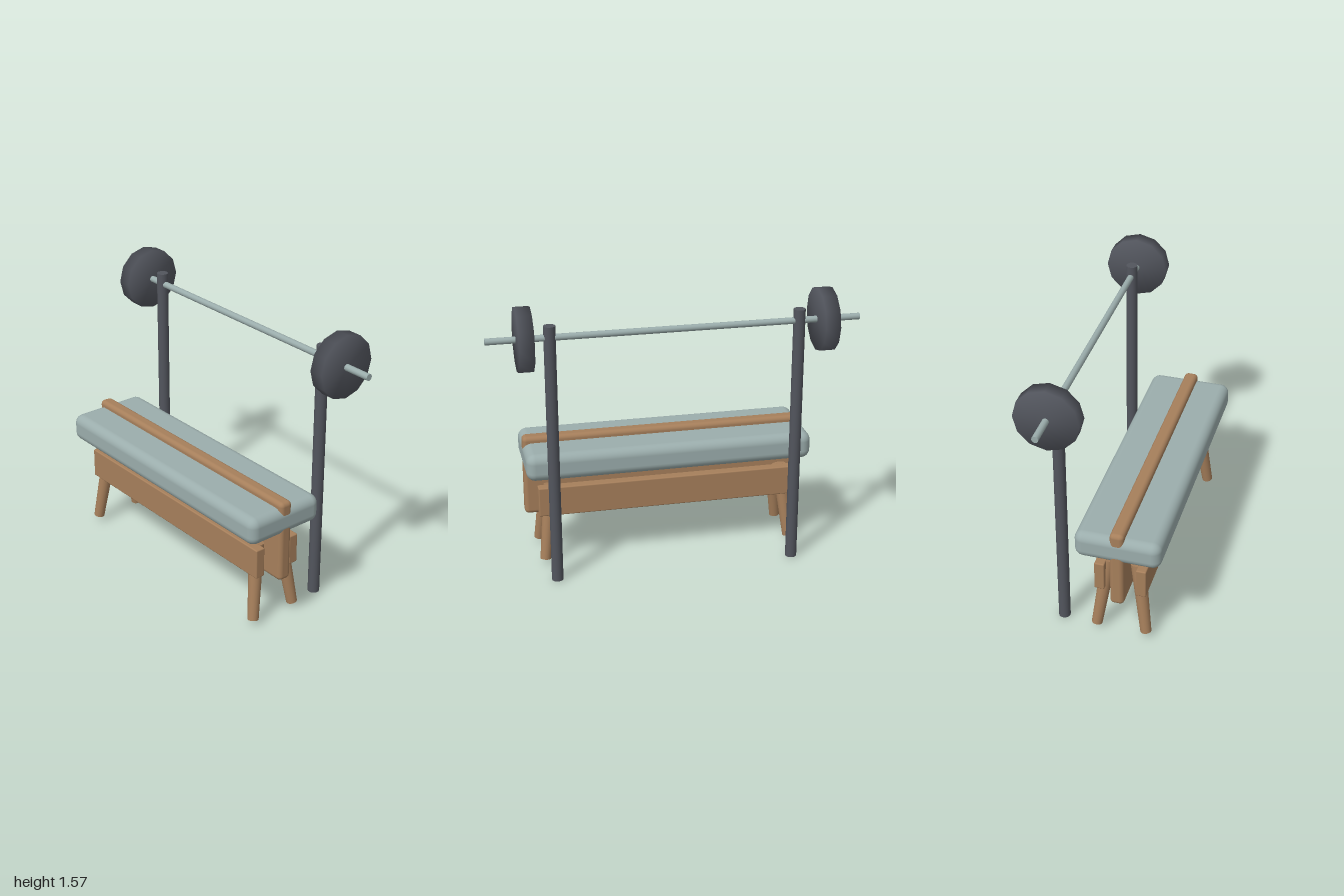
import * as THREE from 'three';
import { mergeVertices } from 'three/addons/utils/BufferGeometryUtils.js';
import { RoundedBoxGeometry } from 'three/addons/geometries/RoundedBoxGeometry.js';

function makeMaterial(name, color) {
  const material = new THREE.MeshStandardMaterial({ color });
  material.name = name;
  return material;
}

export function createModel() {
  const wood = makeMaterial('wood', 0xa67f5b);
  const padding = makeMaterial('grey green', 0x9badac);
  const iron = makeMaterial('dark iron', 0x52555d);

  const model = new THREE.Group();
  model.name = 'weightBench';
  const benchZ = 0.14;
  const barZ = -0.195;
  const barY = 1.402;

  function add(name, geometry, material, x, y, z) {
    const mesh = new THREE.Mesh(geometry, material);
    mesh.name = name;
    mesh.position.set(x, y, z);
    model.add(mesh);
    return mesh;
  }

  // Tapered rod running between two points
  function addRod(name, from, to, r0, r1, sides, material) {
    const a = new THREE.Vector3(...from);
    const b = new THREE.Vector3(...to);
    const dir = b.clone().sub(a);
    const mid = a.clone().add(b).multiplyScalar(0.5);
    const geometry = new THREE.CylinderGeometry(r1, r0, dir.length(), sides);
    const rod = add(name, geometry, material, mid.x, mid.y, mid.z);
    rod.quaternion.setFromUnitVectors(new THREE.Vector3(0, 1, 0), dir.normalize());
    return rod;
  }

  // Cushion and the upright plank running through its middle
  add('cushion', new RoundedBoxGeometry(1.6, 0.155, 0.467, 4, 0.05), padding, 0, 0.616, benchZ);
  add('centrePlank', new RoundedBoxGeometry(1.597, 0.463, 0.077, 3, 0.024), wood, 0, 0.496, benchZ);

  // Side rails and splayed, tapered legs
  for (const side of [1, -1]) {
    add('sideRail', new RoundedBoxGeometry(1.464, 0.17, 0.056, 2, 0.007), wood,
      0, 0.377, benchZ + side * 0.114);
    for (const end of [1, -1]) {
      addRod('leg',
        [end * 0.706, 0.03, benchZ + side * 0.137],
        [end * 0.657, 0.455, benchZ + side * 0.079],
        0.03, 0.04, 16, wood);
    }
  }

  // Uprights
  for (const end of [1, -1]) {
    addRod('upright', [end * 0.667, 0, barZ], [end * 0.667, 1.465, barZ], 0.032, 0.032, 16, iron);
  }

  // Barbell
  addRod('bar', [-1, barY, barZ], [1, barY, barZ], 0.018, 0.018, 12, padding);

  // Weight plates: twelve-sided discs, shaded softly over the rims
  let plate = new THREE.CylinderGeometry(0.172, 0.172, 0.08, 12);
  plate.deleteAttribute('normal');
  plate.deleteAttribute('uv');
  plate = mergeVertices(plate);
  plate.computeVertexNormals();
  plate.rotateZ(Math.PI / 2);
  for (const end of [1, -1]) add('weightPlate', plate, iron, end * 0.802, barY, barZ);

  return model;
}
